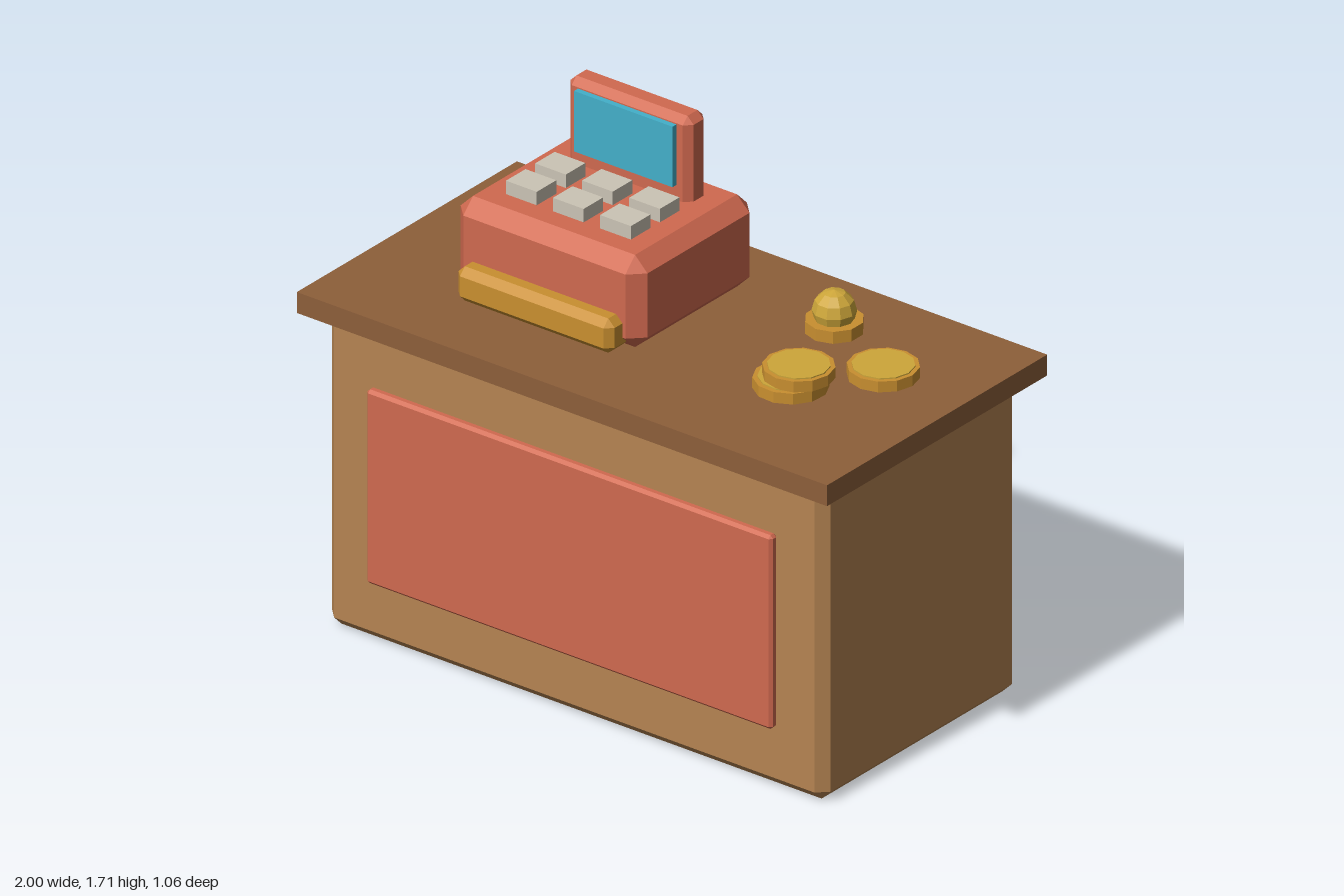
import * as THREE from 'three';
import { ConvexGeometry } from 'three/addons/geometries/ConvexGeometry.js';

const mat = (name, color, flatShading = false) => {
  const m = new THREE.MeshStandardMaterial({ color, flatShading });
  m.name = name;
  return m;
};

// Box with cut edges: three points at each corner, wrapped in a hull
function chamferBox(w, h, d, c) {
  const pts = [];
  for (const sx of [-1, 1]) for (const sy of [-1, 1]) for (const sz of [-1, 1]) {
    const x = w / 2, y = h / 2, z = d / 2;
    pts.push(
      new THREE.Vector3(sx * x, sy * (y - c), sz * (z - c)),
      new THREE.Vector3(sx * (x - c), sy * y, sz * (z - c)),
      new THREE.Vector3(sx * (x - c), sy * (y - c), sz * z));
  }
  return new ConvexGeometry(pts);
}

export function createModel() {
  const root = new THREE.Group();
  root.name = 'shopCounter';

  const wood = mat('lightWood', 0xb58452);
  const darkWood = mat('darkWood', 0x8d5f3a);
  const red = mat('coralRed', 0xd0694f);
  const blue = mat('screenBlue', 0x43b0ca);
  const grey = mat('keyGrey', 0xcbc4b5);
  const bronze = mat('darkGold', 0xc98f30, true);
  const gold = mat('gold', 0xcda63a, true);

  const add = (parent, name, geo, material, x, y, z) => {
    const m = new THREE.Mesh(geo, material);
    m.name = name;
    m.position.set(x, y, z);
    parent.add(m);
    return m;
  };

  // Box given by its extents, with an optional chamfer
  const block = (parent, name, material, [x0, x1], [y0, y1], [z0, z1], c = 0) => {
    const w = x1 - x0, h = y1 - y0, d = z1 - z0;
    const geo = c ? chamferBox(w, h, d, c) : new THREE.BoxGeometry(w, h, d);
    return add(parent, name, geo, material, (x0 + x1) / 2, (y0 + y1) / 2, (z0 + z1) / 2);
  };

  // Counter
  block(root, 'counterBody', wood, [-0.94, 0.94], [0, 1.06], [-0.47, 0.47], 0.034);
  block(root, 'counterTop', darkWood, [-1, 1], [1.05, 1.12], [-0.53, 0.53]);
  block(root, 'frontPanel', red, [-0.765, 0.765], [0.207, 0.857], [0.465, 0.5], 0.01);

  // Cash register
  const register = new THREE.Group();
  register.name = 'cashRegister';
  root.add(register);
  block(register, 'registerBody', red, [-0.65, 0.055], [1.121, 1.43], [-0.35, 0.235], 0.047);
  block(register, 'cashDrawer', bronze, [-0.592, -0.003], [1.125, 1.24], [0.18, 0.296], 0.024);
  block(register, 'displayHousing', red, [-0.53, -0.065], [1.4, 1.71], [-0.258, -0.164], 0.023);
  block(register, 'displayScreen', blue, [-0.483, -0.112], [1.48, 1.683], [-0.17, -0.145]);

  // Two rows of three keys
  for (const z of [0.072, -0.068])
    for (const x of [-0.475, -0.298, -0.12])
      block(register, 'key', grey, [x - 0.058, x + 0.058], [1.425, 1.475], [z - 0.047, z + 0.047]);

  // Coins: a faceted disc with a lighter raised face
  const coin = (x, y, z, r, sides, turn = 0) => {
    const g = new THREE.Group();
    g.name = 'coin';
    g.position.set(x, y, z);
    g.rotation.y = turn;
    add(g, 'coinRim', new THREE.CylinderGeometry(r, r, 0.036, sides), bronze, 0, 0.018, 0);
    add(g, 'coinFace', new THREE.CylinderGeometry(r * 0.87, r * 0.87, 0.006, sides), gold, 0, 0.037, 0);
    root.add(g);
  };
  coin(0.705, 1.125, -0.118, 0.11, 12);
  coin(0.533, 1.125, 0.108, 0.115, 12, 0.2);
  coin(0.552, 1.163, 0.094, 0.11, 12);

  // Service bell
  const bell = new THREE.Group();
  bell.name = 'bell';
  bell.position.set(0.411, 1.125, -0.257);
  root.add(bell);
  add(bell, 'bellBase', new THREE.CylinderGeometry(0.09, 0.09, 0.04, 10), bronze, 0, 0.02, 0);
  add(bell, 'bellDome', new THREE.SphereGeometry(0.068, 10, 6), gold, 0, 0.067, 0);

  return root;
}
